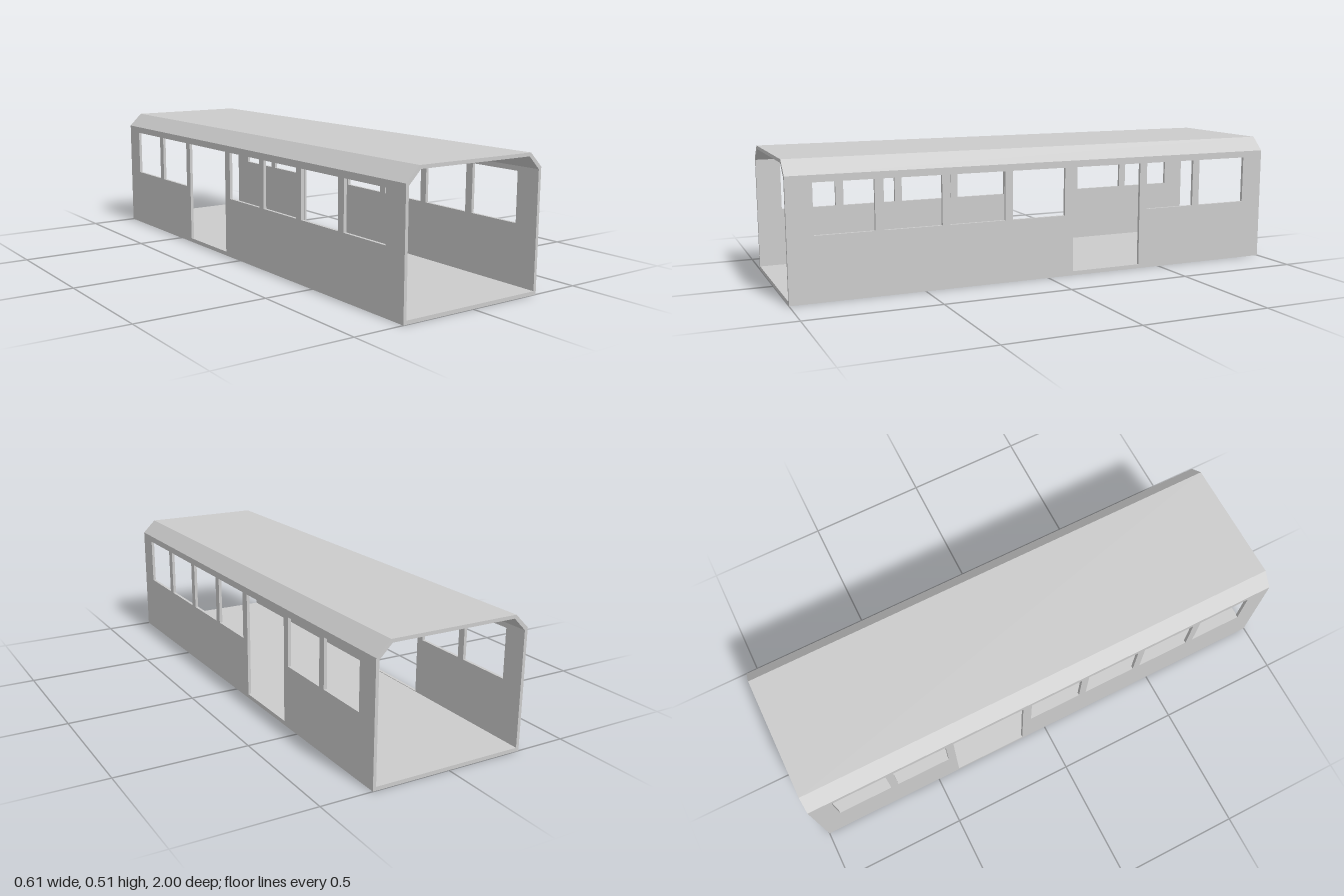
import * as THREE from 'three';

const LENGTH = 2, HALF = 0.304, SKIN = 0.012;
const FLOOR = 0.014, EAVE = 0.446;

// Closed rectangle as a list of points
const rect = (x0, x1, y0, y1) =>
  [[x0, y0], [x1, y0], [x1, y1], [x0, y1]].map(([x, y]) => new THREE.Vector2(x, y));

const extrude = (shape, depth) =>
  new THREE.ExtrudeGeometry(shape, { depth, bevelEnabled: false });

export function createModel() {
  const group = new THREE.Group();
  const material = new THREE.MeshStandardMaterial({ color: 0xcccccc, flatShading: true });
  const add = (name, geometry) => {
    const mesh = new THREE.Mesh(geometry, material);
    mesh.name = name;
    group.add(mesh);
    return mesh;
  };

  // Floor slab
  add('floor', new THREE.BoxGeometry(HALF * 2, FLOOR, LENGTH)).position.y = FLOOR / 2;

  // Side wall drawn along z, with six windows and a door opening
  const wall = new THREE.Shape(rect(-LENGTH / 2, LENGTH / 2, FLOOR, EAVE));
  for (const z of [0.795, 0.542, 0.291, 0.04, -0.548, -0.799]) {
    wall.holes.push(new THREE.Path(rect(z - 0.11, z + 0.11, 0.241, 0.428)));
  }
  wall.holes.push(new THREE.Path(rect(-0.406, -0.107, 0.016, 0.428)));
  const wallGeometry = extrude(wall, SKIN).rotateY(-Math.PI / 2);
  add('leftWall', wallGeometry).position.x = HALF;
  add('rightWall', wallGeometry).position.x = -HALF + SKIN;

  // Roof shell with chamfered shoulders, mirrored across x
  const half = [[HALF, EAVE], [HALF, 0.454], [0.25, 0.507]];
  const inner = [[0.244, 0.494], [HALF - SKIN, EAVE]];
  const mirror = (points) => points.map(([x, y]) => [-x, y]).reverse();
  const profile = [...half, ...mirror(half), ...mirror(inner), ...inner];
  const roof = new THREE.Shape(profile.map(([x, y]) => new THREE.Vector2(x, y)));
  add('roof', extrude(roof, LENGTH)).position.z = -LENGTH / 2;

  return group;
}
